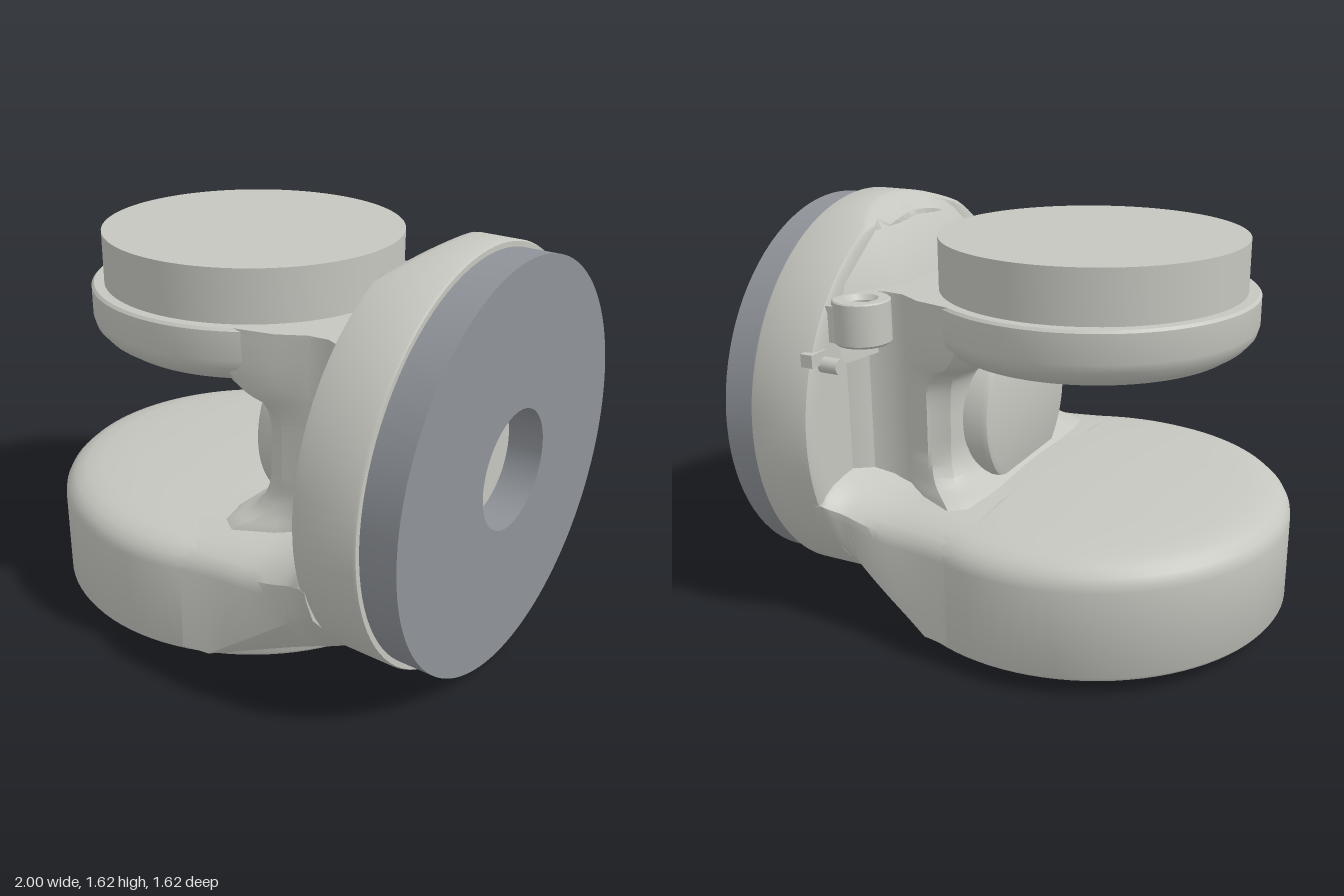
import * as THREE from 'three';
import { toCreasedNormals } from 'three/addons/utils/BufferGeometryUtils.js';
import { ConvexGeometry } from 'three/addons/geometries/ConvexGeometry.js';

const AXIS_Y = 0.81; // height of the flange axis
const DISC_X = -0.19; // centre of both round housings

const lathe = (profile, segments = 96) =>
  new THREE.LatheGeometry(profile.map(([r, y]) => new THREE.Vector2(r, y)), segments);

// turned part lying along x on the flange axis
const latheX = (profile) => lathe(profile).rotateZ(-Math.PI / 2).translate(0, AXIS_Y, 0);

// skin through closed rings of equal length, capped at both ends
function loft(rings) {
  const n = rings[0].length, pos = [], idx = [];
  rings.forEach((ring) => ring.forEach((p) => pos.push(p.x, p.y, p.z)));
  for (let i = 0; i < rings.length - 1; i++) {
    for (let j = 0; j < n; j++) {
      const k = (j + 1) % n, a = i * n + j, b = i * n + k;
      idx.push(a, b, b + n, a, b + n, a + n);
    }
  }
  [0, rings.length - 1].forEach((i) => {
    const c = rings[i].reduce((s, p) => s.add(p), new THREE.Vector3()).divideScalar(n);
    const m = pos.length / 3;
    pos.push(c.x, c.y, c.z);
    for (let j = 0; j < n; j++) {
      const a = i * n + j, b = i * n + ((j + 1) % n);
      if (i === 0) idx.push(m, b, a); else idx.push(m, a, b);
    }
  });
  const g = new THREE.BufferGeometry();
  g.setAttribute('position', new THREE.Float32BufferAttribute(pos, 3));
  g.setIndex(idx);
  return g;
}

// smooth rows of three numbers along a part
const rowsThrough = (rows, count) =>
  new THREE.CatmullRomCurve3(rows.map((r) => new THREE.Vector3(...r))).getPoints(count);

// neck from the lower drum to the flange
function neckGeometry() {
  // x, half width, half width of the flat bottom
  const rows = rowsThrough([
    [0, 0.783, 0.775], [0.17, 0.748, 0.715], [0.3, 0.733, 0.6],
    [0.42, 0.728, 0.485], [0.53, 0.735, 0.385], [0.59, 0.765, 0.325], [0.63, 0.775, 0.3],
  ], 24);
  return loft(rows.map(({ x, y: w, z: wb }) => {
    const t = THREE.MathUtils.clamp((x - 0.17) / 0.43, 0, 1);
    const s = THREE.MathUtils.clamp((x - 0.3) / 0.3, 0, 1) ** 2;
    const low = 0.08 + 0.32 * t, lift = 0.08 * s;
    const side = w - 0.06 * s;
    const half = [
      [0.45, 0.545 + lift], [0.6, 0.53 + lift], [w - 0.09, 0.515 + lift], [w - 0.04, 0.49 + lift],
      [w - 0.01, 0.46 + lift], [w - 0.02 * s, 0.42 + lift], [side, low],
      [(side + wb) / 2 + 0.035 * t, (low + 0.065) / 2 - 0.02 * t], [wb, 0.065],
    ];
    const right = half.map(([z, y]) => new THREE.Vector3(x, y, z));
    const left = half.map(([z, y]) => new THREE.Vector3(x, y, -z)).reverse();
    return [...right, ...left];
  }));
}

// upright web that carries the upper housing, flared at both ends
function webGeometry() {
  // y, inner face x, half width
  const rows = rowsThrough([
    [0.46, -0.02, 0.62], [0.54, 0.06, 0.57], [0.6, 0.15, 0.5], [0.68, 0.185, 0.46],
    [0.8, 0.19, 0.45], [0.95, 0.185, 0.45], [1.02, 0.16, 0.47], [1.075, 0.08, 0.51],
    [1.16, 0.02, 0.54], [1.25, 0, 0.55], [1.32, 0, 0.55],
  ], 36);
  return loft(rows.map(({ x: y, y: x0, z: h }) => {
    const half = [
      [x0, 0.2], [x0, h * 0.75], [x0 + 0.03, h * 0.93], [x0 + 0.1, h], [0.3, h * 0.4 + 0.28],
      [0.4, 0.44], [0.48, 0.43], [0.55, 0.46], [0.6, 0.54], [0.64, 0.56],
    ];
    const front = half.map(([x, z]) => new THREE.Vector3(x, y, z));
    const back = half.map(([x, z]) => new THREE.Vector3(x, y, -z)).reverse();
    return [...front, ...back];
  }));
}

// flange disc whose inner rim is cut away at the top and bottom
function flangeGeometry() {
  const g = latheX([
    [0, 0.6], [0.5, 0.6], [0.62, 0.6], [0.7, 0.6], [0.74, 0.6], [0.79, 0.6],
    [0.807, 0.61], [0.81, 0.63], [0.81, 0.85], [0.805, 0.86], [0, 0.86],
  ]);
  const p = g.attributes.position;
  for (let i = 0; i < p.count; i++) {
    if (p.getX(i) > 0.7) continue;
    const y = p.getY(i);
    p.setX(i, p.getX(i) + Math.max(0, y - 1.54) * 1.2 + Math.max(0, 0.075 - y) * 0.9);
  }
  return g;
}

export function createModel() {
  const model = new THREE.Group();
  model.name = 'yokeHousing';
  const body = new THREE.MeshStandardMaterial({ color: 0xc6c6c0 });
  body.name = 'warmGreyCasting';
  const slate = new THREE.MeshStandardMaterial({ color: 0x8f9399 });
  slate.name = 'slateGreyRing';

  const add = (name, geometry, material = body, crease = 0.6) => {
    const mesh = new THREE.Mesh(toCreasedNormals(geometry, crease), material);
    mesh.name = name;
    model.add(mesh);
    return mesh;
  };

  // lower round housing with a soft shoulder
  add('lowerDrum', lathe([
    [0, 0.065], [0.8, 0.065], [0.81, 0.08], [0.81, 0.42], [0.806, 0.445], [0.792, 0.472],
    [0.765, 0.497], [0.72, 0.516], [0.65, 0.528], [0.5, 0.54], [0.25, 0.55], [0, 0.555],
  ]).translate(DISC_X, 0, 0));
  add('neck', neckGeometry());

  // upright and the round boss on its inner face
  add('web', webGeometry());
  add('innerBoss', latheX([[0, 0.09], [0.33, 0.09], [0.35, 0.1], [0.36, 0.12], [0.36, 0.3], [0, 0.3]]));

  // upper round housing and its cap
  add('upperDisc', lathe([
    [0, 1.065], [0.4, 1.073], [0.5, 1.082], [0.56, 1.1], [0.605, 1.13], [0.635, 1.165],
    [0.645, 1.2], [0.645, 1.31], [0.635, 1.32], [0, 1.32],
  ]).translate(DISC_X, 0, 0));
  add('cap', lathe([[0, 1.31], [0.595, 1.31], [0.595, 1.525], [0, 1.525]]).translate(DISC_X, 0, 0));

  // flange, sloped gusset behind it, and facing ring
  add('flange', flangeGeometry());
  const gusset = [[0.69, 1.6, 0]];
  [-1, 1].forEach((s) => gusset.push(
    [0.48, 1.32, s * 0.3], [0.62, 1.553, s * 0.3], [0.45, 1.1, s * 0.34],
    [0.61, 1.36, s * 0.54], [0.61, 1.05, s * 0.6], [0.7, 1.3, s * 0.4],
  ));
  add('gusset', new ConvexGeometry(gusset.map((p) => new THREE.Vector3(...p))));
  add('facingRing', latheX([[0.23, 0.86], [0.785, 0.86], [0.785, 1], [0.23, 1], [0.23, 0.86]]), slate);

  // drilled lug with its bridge to the flange
  add('lug', lathe([
    [0, 1.15], [0.1, 1.15], [0.11, 1.16], [0.11, 1.315], [0.105, 1.32],
    [0.065, 1.32], [0.048, 1.3], [0.048, 1.24], [0, 1.24],
  ], 40).translate(0.51, 0, -0.55));
  add('lugBridge', new THREE.BoxGeometry(0.12, 0.14, 0.1).translate(0.58, 1.23, -0.59));

  // small pin on the flange back
  add('pin', new THREE.CylinderGeometry(0.03, 0.03, 0.1, 20).rotateZ(Math.PI / 2).translate(0.57, 1.09, -0.69));
  add('pinHead', new THREE.BoxGeometry(0.05, 0.05, 0.09).translate(0.615, 1.12, -0.72));

  return model;
}
